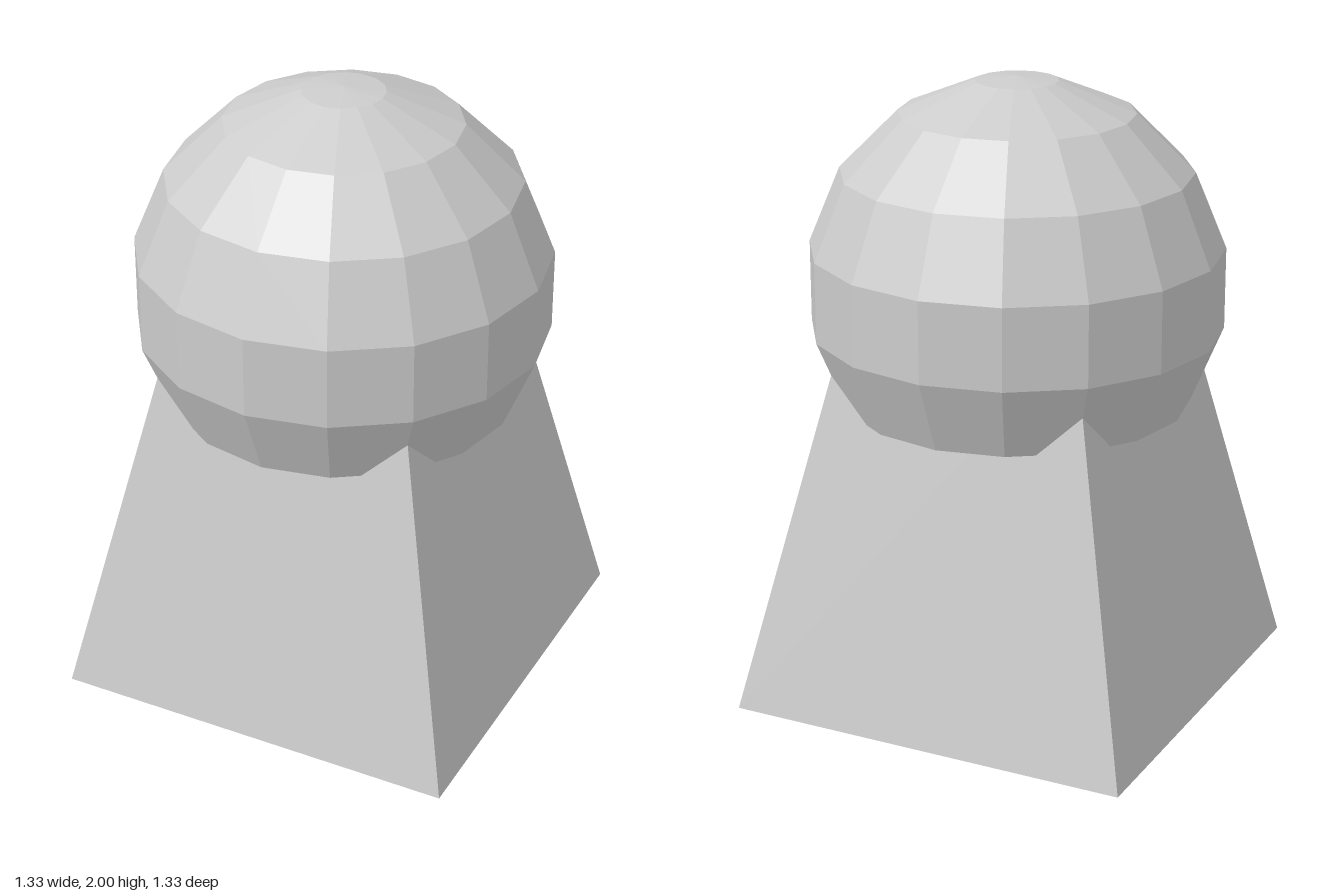
import * as THREE from 'three';

export function createModel() {
  const group = new THREE.Group();
  const material = new THREE.MeshStandardMaterial({
    color: 0xcccccc, flatShading: true, side: THREE.DoubleSide,
  });

  // Tapered square pedestal: four slanted walls, open at the ends
  const baseHalf = 0.667, topHalf = 0.38, height = 1.333;
  const pedestal = new THREE.Mesh(
    new THREE.CylinderGeometry(topHalf * Math.SQRT2, baseHalf * Math.SQRT2, height, 4, 1, true, Math.PI / 4),
    material);
  pedestal.position.y = height / 2;
  pedestal.name = 'pedestal';
  group.add(pedestal);

  // Faceted ball, open underneath: rings half a step off the pole
  const radius = 0.667, centerY = 1.333, step = Math.PI / 8;
  const profile = [];
  for (let ring = 5; ring >= 0; ring--) {
    const phi = (ring + 0.5) * step;
    profile.push(new THREE.Vector2(radius * Math.sin(phi), radius * Math.cos(phi)));
  }
  profile.push(new THREE.Vector2(0, radius));
  const ball = new THREE.Mesh(new THREE.LatheGeometry(profile, 16), material);
  ball.position.y = centerY;
  ball.name = 'ball';
  group.add(ball);

  return group;
}
